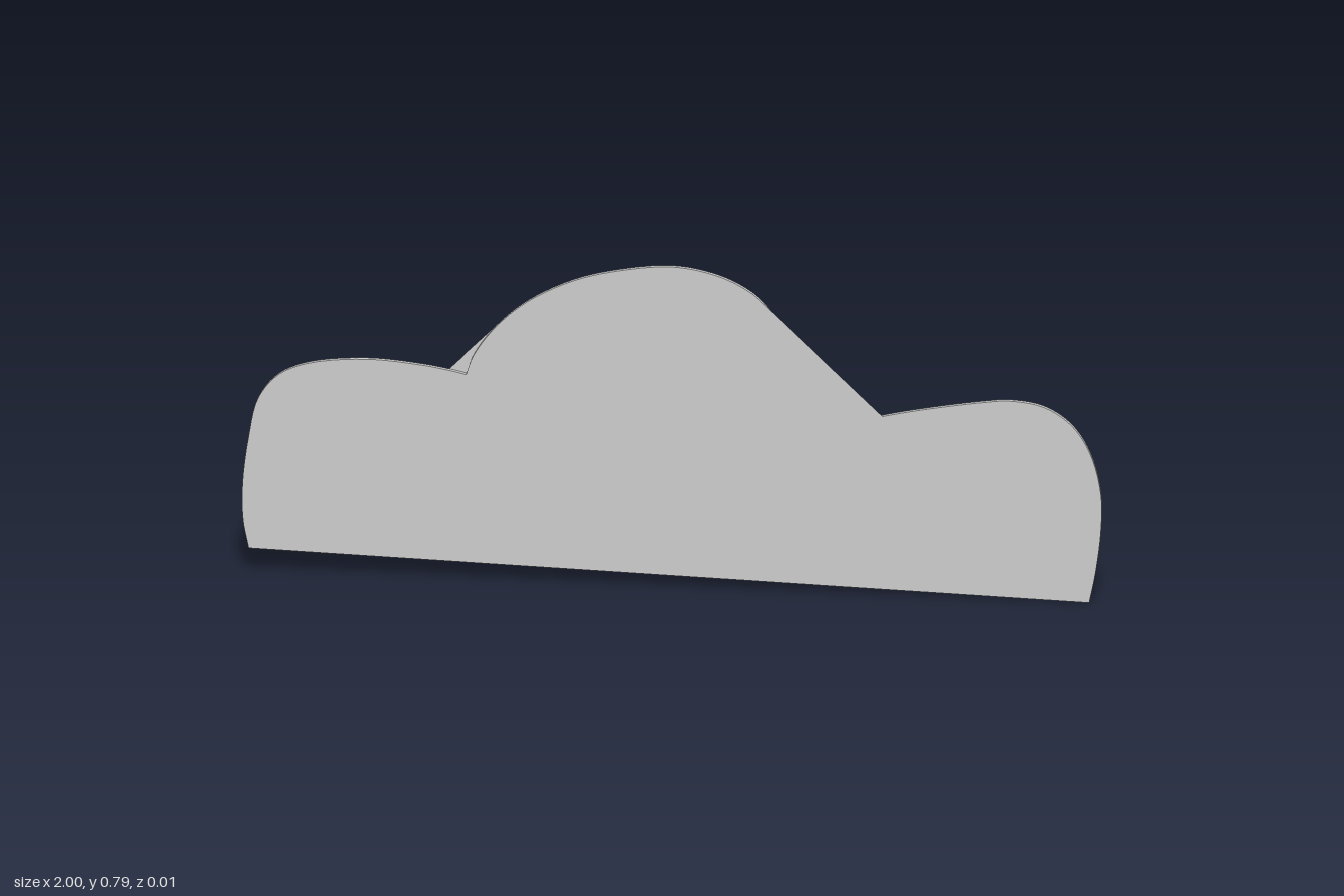
import * as THREE from 'three';
import { toCreasedNormals } from 'three/addons/utils/BufferGeometryUtils.js';

const HALF = 0.0055; // half the plate thickness

// Smooth run through a few outline points
function smooth(points, steps = 5) {
  const vectors = points.map(([x, y]) => new THREE.Vector3(x, y, 0));
  return new THREE.CatmullRomCurve3(vectors, false, 'centripetal')
    .getPoints((points.length - 1) * steps)
    .map((p) => new THREE.Vector2(p.x, p.y));
}

export function createModel() {
  const group = new THREE.Group();
  group.name = 'cloudPlate';
  const material = new THREE.MeshStandardMaterial({ color: 0xcccccc, side: THREE.DoubleSide });
  const add = (geometry, name, z) => {
    const mesh = new THREE.Mesh(geometry, material);
    mesh.name = name;
    mesh.position.z = z;
    group.add(mesh);
  };

  // Three lobes, meeting in sharp notches
  const rightLobe = smooth([
    [-0.985, 0.06], [-0.998, 0.13], [-0.999, 0.22], [-0.985, 0.335], [-0.963, 0.43], [-0.915, 0.49],
    [-0.845, 0.52], [-0.71, 0.535], [-0.58, 0.525], [-0.52, 0.515], [-0.478, 0.506],
  ]);
  const middleLobe = smooth([
    [-0.478, 0.506], [-0.46, 0.555], [-0.41, 0.625], [-0.337, 0.69], [-0.23, 0.746], [-0.123, 0.775],
    [0, 0.789], [0.09, 0.775], [0.155, 0.749], [0.208, 0.711], [0.25, 0.655], [0.3, 0.57], [0.33, 0.48],
    [0.345, 0.4],
  ]);
  const leftLobe = smooth([
    [0.345, 0.4], [0.49, 0.44], [0.6, 0.463], [0.73, 0.484], [0.785, 0.489], [0.866, 0.476],
    [0.93, 0.433], [0.973, 0.364], [0.997, 0.267], [0.997, 0.176], [0.984, 0.07], [0.97, 0],
  ]);

  // Solid plate
  const outline = new THREE.Shape([...rightLobe, ...middleLobe.slice(1), ...leftLobe.slice(1)]);
  const plate = new THREE.ExtrudeGeometry(outline, { depth: 2 * HALF, bevelEnabled: false });
  add(toCreasedNormals(plate, 0.5), 'plate', -HALF);

  // Thin webs bridging the notches: one on the back face, one on the front face
  const backWeb = [new THREE.Vector2(-0.52, 0.515), ...middleLobe.slice(0, 11)];
  add(new THREE.ShapeGeometry(new THREE.Shape(backWeb)), 'backNotchWeb', -HALF);
  const frontWeb = [...middleLobe.slice(45), new THREE.Vector2(0.49, 0.44)];
  add(new THREE.ShapeGeometry(new THREE.Shape(frontWeb)), 'frontNotchWeb', HALF);

  return group;
}
